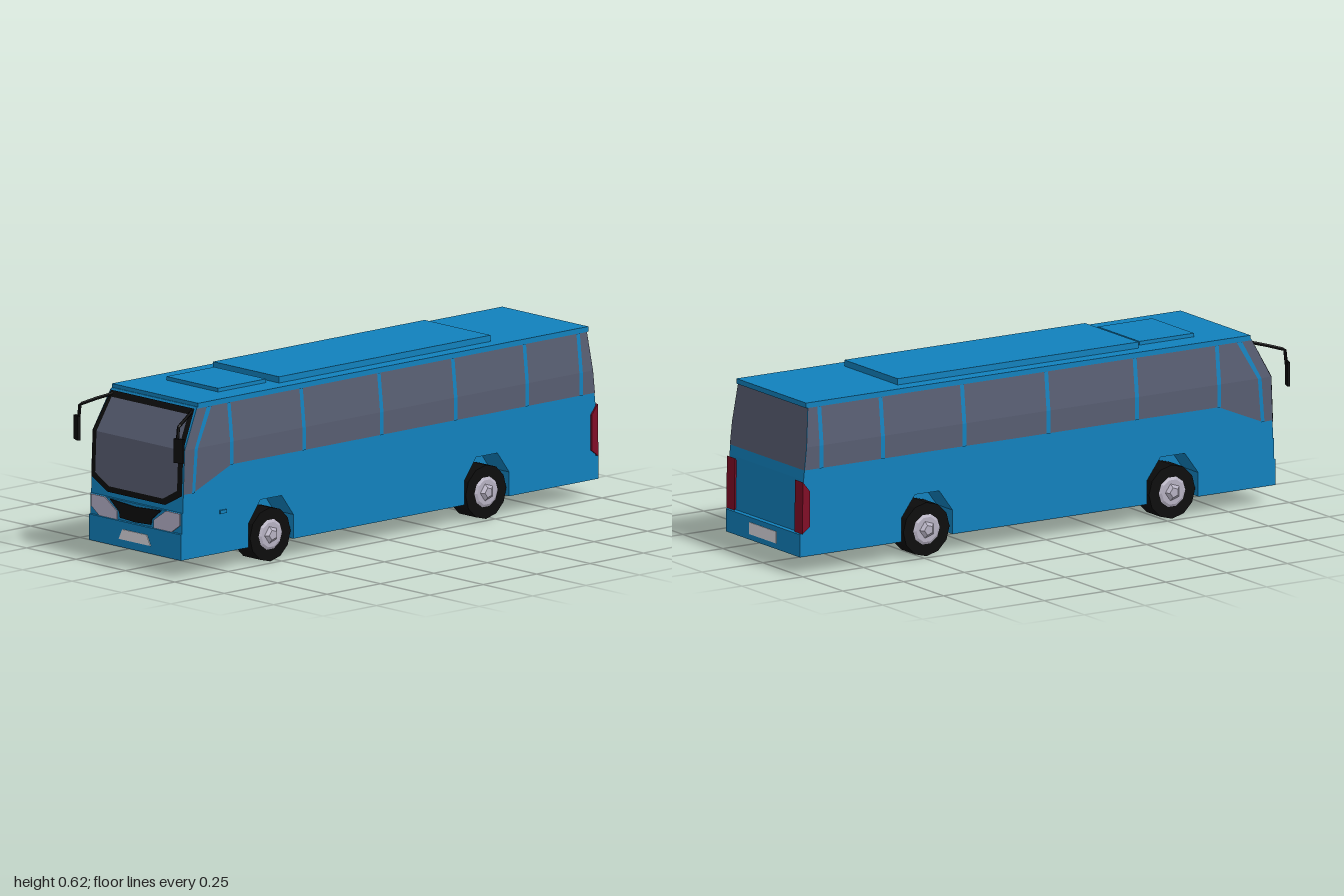
import * as THREE from 'three';

const mat = (color, side = THREE.FrontSide) =>
  new THREE.MeshStandardMaterial({ color, side, flatShading: true });
const blue = mat(0x1181bd), black = mat(0x0c0c0c), lamp = mat(0xb8b4cc);
const plate = mat(0xdcdae0), red = mat(0x800c26), metal = mat(0xb6b1c2);
const glass2 = mat(0x575d71, THREE.DoubleSide), blue2 = mat(0x1181bd, THREE.DoubleSide);
const black2 = mat(0x0c0c0c, THREE.DoubleSide);

const KINK = 0.45, TOP = 0.59;      // height where the sides start leaning in, cabin top
const AXLES = [0.533, -0.477];
const lerp = THREE.MathUtils.lerp;
const lean = y => Math.max(0, (y - KINK) / (TOP - KINK));
const halfWidth = y => lerp(0.232, 0.2165, lean(y));
const frontZ = y => y < KINK ? lerp(0.946, 0.937, (y - 0.23) / (KINK - 0.23)) : lerp(0.937, 0.865, lean(y));
const backZ = y => lerp(-0.985, -0.957, (y - 0.335) / (TOP - 0.335));

export function createModel() {
  const bus = new THREE.Group();
  const add = (name, geometry, material, x = 0, y = 0, z = 0, parent = bus) => {
    const m = new THREE.Mesh(geometry, material);
    m.name = name;
    m.position.set(x, y, z);
    parent.add(m);
    return m;
  };
  const box = (name, material, w, h, d, x, y, z) =>
    add(name, new THREE.BoxGeometry(w, h, d), material, x, y, z);
  const shape = pts => new THREE.Shape(pts.map(p => new THREE.Vector2(...p)));
  const extrude = (pts, depth) => new THREE.ExtrudeGeometry(shape(pts), { depth, bevelEnabled: false });
  // side profile given as (z, y), spanning x0..x1
  const slab = (name, pts, x0, x1, material) =>
    add(name, extrude(pts, x1 - x0).rotateY(-Math.PI / 2), material, x1);
  // panel lying on a body surface; rows are [y, from, to]
  const strip = (name, rows, place, material) => {
    const v = [];
    for (let i = 0; i + 1 < rows.length; i++) {
      const [y0, a0, b0] = rows[i], [y1, a1, b1] = rows[i + 1];
      const a = place(y0, a0), b = place(y0, b0), c = place(y1, b1), d = place(y1, a1);
      v.push(...a, ...b, ...c, ...a, ...c, ...d);
    }
    const g = new THREE.BufferGeometry();
    g.setAttribute('position', new THREE.Float32BufferAttribute(v, 3));
    g.computeVertexNormals();
    add(name, g, material);
  };
  const onSide = (s, off) => (y, z) => [s * (halfWidth(y) + off), y, z];
  const onFront = off => (y, x) => [x, y, frontZ(y) + off];
  const onBack = off => (y, x) => [x, y, backZ(y) - off];

  // lower body: solid centre and two skirts with wheel arches
  const outline = [[0.955, 0.065], [0.955, 0.156], [0.95, 0.158], [0.95, 0.228], [0.946, 0.23],
    [0.937, KINK], [backZ(KINK), KINK], [-0.985, 0.335], [-0.987, 0.148], [-1, 0.145], [-1, 0.065]];
  const arches = [...AXLES].reverse().flatMap(z =>
    [[-0.105, 0.065], [-0.105, 0.15], [-0.05, 0.225], [0.05, 0.225], [0.105, 0.15], [0.105, 0.065]]
      .map(([dz, y]) => [z + dz, y]));
  slab('bodyCentre', outline, -0.132, 0.132, blue);
  slab('leftSkirt', [...outline, ...arches], 0.132, 0.232, blue);
  slab('rightSkirt', [...outline, ...arches], -0.232, -0.132, blue);

  // upper cabin leaning inwards, then roof
  const cabin = new THREE.BoxGeometry(2, 2, 2), p = cabin.attributes.position;
  for (let i = 0; i < p.count; i++) {
    const y = p.getY(i) > 0 ? TOP : KINK;
    p.setXYZ(i, p.getX(i) * halfWidth(y), y, p.getZ(i) > 0 ? frontZ(y) : backZ(y));
  }
  cabin.computeVertexNormals();
  add('cabin', cabin, blue);
  box('roof', blue, 0.436, 0.018, 1.827, 0, 0.594, -0.052);
  box('airConditioner', blue, 0.334, 0.023, 0.99, 0, 0.6135, -0.06);
  box('roofHatch', blue, 0.262, 0.014, 0.224, 0, 0.609, 0.575);

  // side windows and pillars
  const levels = [0.37, KINK, 0.585];
  for (const s of [-1, 1]) {
    strip('sideWindows', levels.map(y => [y, 0.72, backZ(y)]), onSide(s, 0.002), glass2);
    strip('frontSideWindow', [[0.295, frontZ(0.295), 0.9], ...levels.map(y => [y, frontZ(y), 0.72])],
      onSide(s, 0.002), glass2);
    strip('frontPillar', [[0.295, 0.907, 0.893], [KINK, 0.895, 0.88], [0.585, 0.825, 0.803]],
      onSide(s, 0.005), blue2);
    for (const z of [0.721, 0.383, 0.019, -0.327, -0.662, -0.914])
      strip('pillar', levels.map(y => [y, z + 0.008, z - 0.008]), onSide(s, 0.005), blue2);
  }

  // windscreen with black surround, rear window
  const across = rows => rows.map(([y, x]) => [y, -x, x]);
  strip('windscreenFrame', across([[0.247, 0.146], [0.29, 0.229], [KINK, 0.229], [0.584, 0.211]]), onFront(0.004), black2);
  strip('windscreen', across([[0.268, 0.137], [0.306, 0.207], [KINK, 0.207], [0.564, 0.194]]), onFront(0.007), glass2);
  strip('rearWindow', across(levels.map(y => [y, halfWidth(y)])), onBack(0.002), glass2);

  // front details
  const lampShape = [[0.093, 0.158], [0.183, 0.158], [0.225, 0.187], [0.225, 0.228], [0.155, 0.228], [0.093, 0.187]];
  for (const s of [-1, 1])
    add('headlight', extrude(lampShape.map(([x, y]) => [s * x, y]), 0.006), lamp, 0, 0, 0.948);
  add('grille', extrude([[-0.13, 0.225], [-0.082, 0.187], [-0.078, 0.167], [0, 0.163], [0.078, 0.167],
    [0.082, 0.187], [0.13, 0.225], [0, 0.217]], 0.006), black, 0, 0, 0.948);
  add('frontPlate', extrude([[-0.08, 0.093], [0.08, 0.093], [0.062, 0.129], [-0.062, 0.129]], 0.005), plate, 0, 0, 0.953);

  // rear details
  box('rearPlate', plate, 0.17, 0.042, 0.006, 0, 0.106, -0.999);
  for (const s of [-1, 1]) {
    const x = s * 0.213;
    slab('tailLight', [[-0.963, 0.17], [-0.963, 0.295], [-0.991, 0.33], [-0.994, 0.147]].reverse(), x - 0.025, x + 0.025, red);
  }
  box('doorHandle', blue, 0.008, 0.012, 0.03, 0.234, 0.21, 0.76);

  // wheels, axis along x, outer side pointing away from the body
  for (const s of [-1, 1]) for (const z of AXLES) {
    const wheel = new THREE.Group();
    wheel.name = 'wheel';
    wheel.position.set(s * 0.143, 0.095, z);
    if (s < 0) wheel.rotation.y = Math.PI;
    const disc = (name, rOut, rIn, x0, x1, n, m) =>
      add(name, new THREE.CylinderGeometry(rOut, rIn, x1 - x0, n).rotateZ(-Math.PI / 2), m, (x0 + x1) / 2, 0, 0, wheel);
    disc('tyre', 0.095, 0.095, 0, 0.085, 12, black);
    disc('rim', 0.045, 0.064, 0.08, 0.09, 10, metal);
    disc('hub', 0.018, 0.034, 0.088, 0.1, 5, metal);
    bus.add(wheel);
  }

  // mirrors on bent arms
  for (const s of [-1, 1]) {
    const path = new THREE.CurvePath();
    const pts = [[0.195, 0.575, 0.865], [0.225, 0.56, 0.925], [0.25, 0.543, 0.982], [0.25, 0.49, 0.988]]
      .map(([x, y, z]) => new THREE.Vector3(s * x, y, z));
    for (let i = 0; i < 3; i++) path.add(new THREE.LineCurve3(pts[i], pts[i + 1]));
    add('mirrorArm', new THREE.TubeGeometry(path, 18, 0.006, 5), black);
    const mirror = box('mirror', black, 0.037, 0.085, 0.01, s * 0.2585, 0.4605, 0.988);
    mirror.rotation.y = s * 0.35;
  }
  return bus;
}
